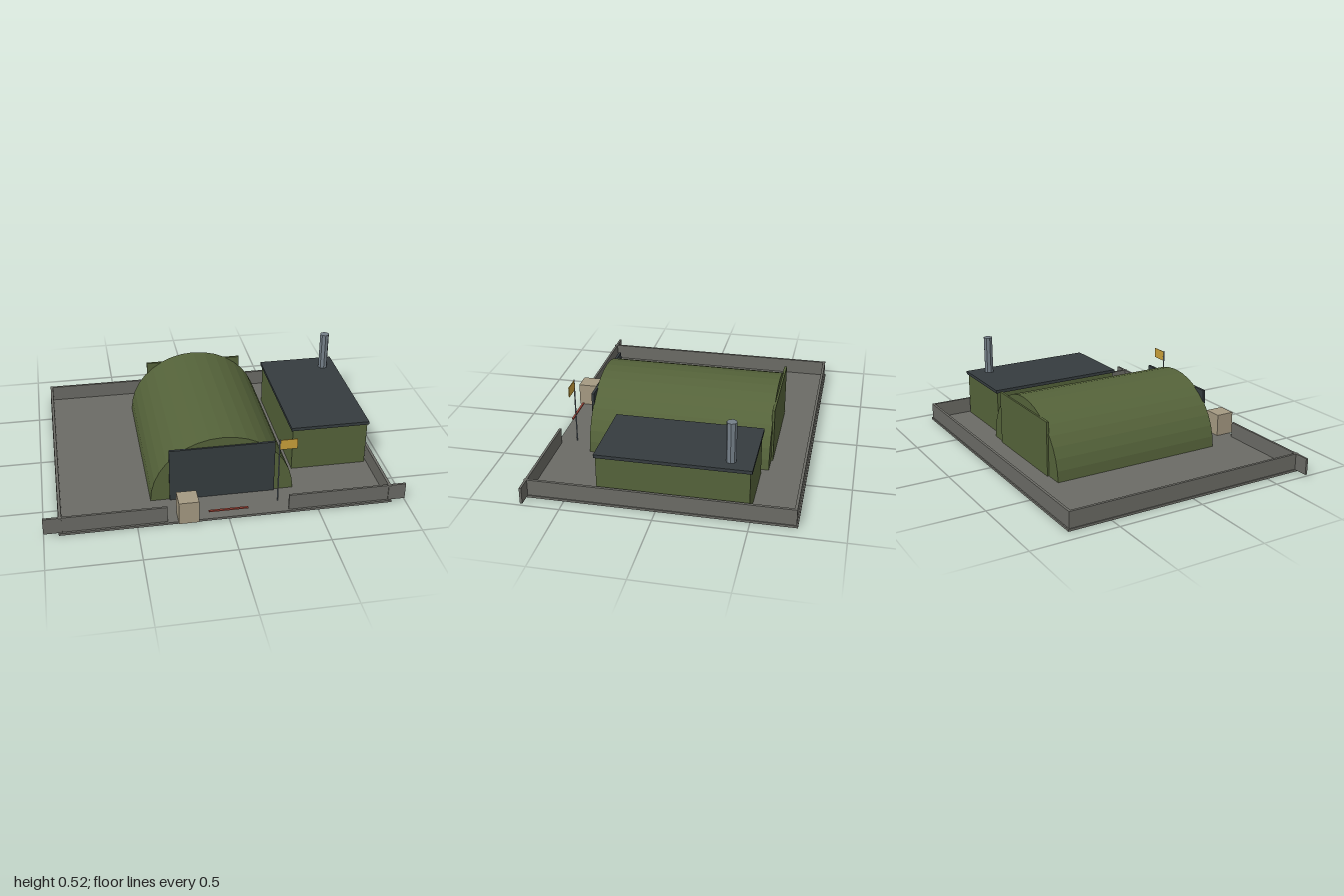
import * as THREE from 'three';

const paint = (name, color) => {
  const m = new THREE.MeshStandardMaterial({ color });
  m.name = name;
  return m;
};

export function createModel() {
  const concrete = paint('concrete grey', 0x6b6b65);
  const olive = paint('olive green', 0x55633a);
  const slate = paint('dark slate', 0x353c3f);
  const steel = paint('steel grey', 0x747f88);
  const tan = paint('tan', 0xa59a82);
  const gold = paint('flag gold', 0xc9a03a);
  const red = paint('barrier red', 0xa2473a);

  const model = new THREE.Group();
  model.name = 'compound';

  const add = (name, geometry, material, parent = model) => {
    const mesh = new THREE.Mesh(geometry, material);
    mesh.name = name;
    parent.add(mesh);
    return mesh;
  };
  // Box given by its lower and upper limits on each axis
  const box = (name, material, [x0, x1], [y0, y1], [z0, z1], parent) => {
    const mesh = add(name, new THREE.BoxGeometry(x1 - x0, y1 - y0, z1 - z0), material, parent);
    mesh.position.set((x0 + x1) / 2, (y0 + y1) / 2, (z0 + z1) / 2);
    return mesh;
  };
  const group = (name) => {
    const g = new THREE.Group();
    g.name = name;
    model.add(g);
    return g;
  };

  // Yard slab and low perimeter walls
  box('groundSlab', concrete, [-0.92, 0.92], [0, 0.013], [-0.747, 0.727]);
  const walls = group('perimeterWalls');
  const wallY = [0.01, 0.105];
  box('backWall', concrete, [-0.915, 0.915], wallY, [-0.74, -0.725], walls);
  for (const s of [-1, 1]) {
    const span = (a, b) => (s > 0 ? [a, b] : [-b, -a]);
    box('sideWall', concrete, span(0.9, 0.915), wallY, [-0.74, 0.72], walls);
    box('frontWall', concrete, span(0.335, 1), wallY, [0.702, 0.715], walls);
  }

  // Arched hangar: half-ellipse section run from back to front
  const hangar = group('hangar');
  const arch = new THREE.Shape();
  const sides = 18;
  for (let i = 0; i <= sides; i++) {
    const a = (i / sides) * Math.PI;
    const x = 0.405 * Math.cos(a), y = 0.01 + 0.375 * Math.sin(a);
    if (i === 0) arch.moveTo(x, y);
    else arch.lineTo(x, y);
  }
  arch.closePath();
  const shell = add('archedShell',
    new THREE.ExtrudeGeometry(arch, { depth: 1.04, bevelEnabled: false }), olive, hangar);
  shell.position.z = -0.53;
  box('hangarDoor', slate, [-0.298, 0.295], [0.013, 0.332], [0.505, 0.52], hangar);
  box('backPanel', olive, [-0.298, 0.295], [0.013, 0.332], [-0.54, -0.525], hangar);

  // Side building with flat roof and chimney
  const hut = group('sideBuilding');
  box('hutWalls', olive, [0.445, 0.887], [0.01, 0.275], [-0.492, 0.325], hut);
  box('hutRoof', slate, [0.435, 0.895], [0.273, 0.292], [-0.502, 0.333], hut);
  const chimney = add('chimney',
    new THREE.CylinderGeometry(0.028, 0.028, 0.24, 8).toNonIndexed(), steel, hut);
  chimney.geometry.computeVertexNormals();
  chimney.position.set(0.813, 0.4, -0.38);

  // Flag on its pole
  const flag = group('flag');
  const pole = add('flagPole', new THREE.CylinderGeometry(0.004, 0.004, 0.4, 6), steel, flag);
  pole.position.set(0.293, 0.21, 0.621);
  box('flagCloth', gold, [0.295, 0.392], [0.346, 0.406], [0.619, 0.623], flag);

  // Gate: guard box and barrier bar
  box('guardBox', tan, [-0.278, -0.168], [0.013, 0.145], [0.638, 0.748]);
  box('gateBarrier', red, [-0.11, 0.108], [0.045, 0.053], [0.702, 0.713]);

  return model;
}
